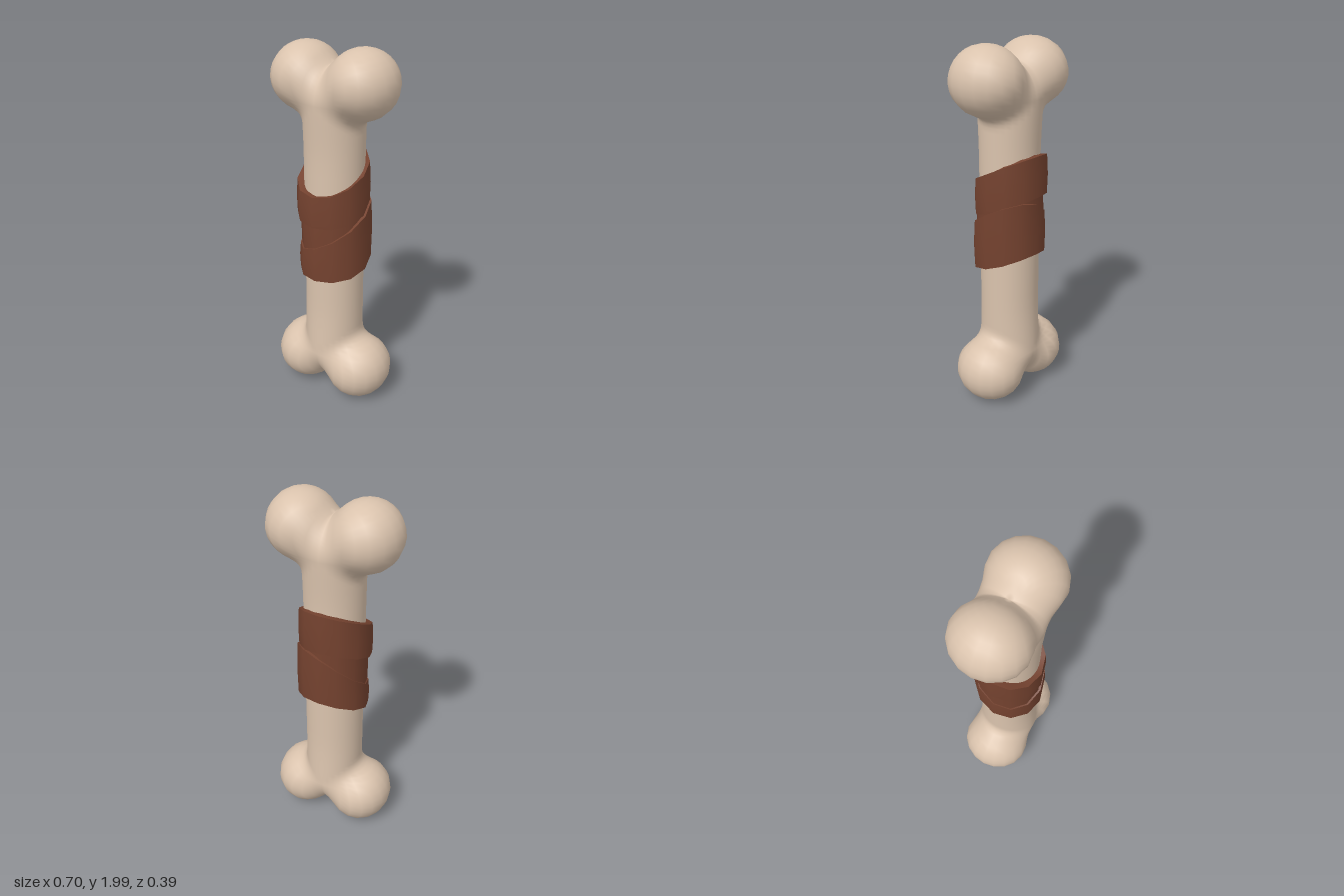
import * as THREE from 'three';

const boneMat = new THREE.MeshStandardMaterial({ color: 0xdac3ad });
boneMat.name = 'bone ivory';
const leatherMat = new THREE.MeshStandardMaterial({ color: 0x74422f });
leatherMat.name = 'brown leather';

// Implicit upper half of the bone: a round shaft blended into two knobs
function boneField(x, y, z) {
  const zs = z / (1 + 0.1 * THREE.MathUtils.smoothstep(y, 1.4, 1.8));
  const shaft = Math.hypot(x, Math.max(y - 1.72, 0), zs) - 0.16;
  const knob = Math.hypot(Math.abs(x) - 0.172, y - 1.818, zs) - 0.178;
  const k = 0.07;
  const h = Math.max(k - Math.abs(shaft - knob), 0) / k;
  return Math.min(shaft, knob) - h * h * k * 0.25;
}

// Triangles joining consecutive closed rows of points, rows running downward
function rowFaces(index, firstRow, lastRow, sides) {
  for (let r = firstRow; r < lastRow; r++) {
    for (let i = 0; i < sides; i++) {
      const j = (i + 1) % sides;
      const a = r * sides + i, b = a + sides;
      const d = r * sides + j, c = d + sides;
      index.push(a, b, c, a, c, d);
    }
  }
}

function boneGeometry() {
  const sides = 32, steps = 28, pivot = 1.7;
  const rows = [];
  const e = 0.002;
  for (let r = 0; r <= steps; r++) {
    const lat = THREE.MathUtils.degToRad(90 - (167 * r) / steps);
    const row = [];
    for (let i = 0; i < sides; i++) {
      const a = (i / sides) * Math.PI * 2;
      const d = [Math.cos(lat) * Math.sin(a), Math.sin(lat), Math.cos(lat) * Math.cos(a)];
      let lo = 0, hi = 0.9;
      for (let n = 0; n < 30; n++) {
        const t = (lo + hi) / 2;
        if (boneField(d[0] * t, pivot + d[1] * t, d[2] * t) < 0) lo = t;
        else hi = t;
      }
      const x = d[0] * lo, y = pivot + d[1] * lo, z = d[2] * lo;
      const n = new THREE.Vector3(
        boneField(x + e, y, z) - boneField(x - e, y, z),
        boneField(x, y + e, z) - boneField(x, y - e, z),
        boneField(x, y, z + e) - boneField(x, y, z - e)
      ).normalize();
      row.push({ x, y, z, n });
    }
    rows.push(row);
  }
  // Lower half mirrors the upper half
  const lower = rows.map(row => row.map(({ x, y, z, n }) =>
    ({ x, y: 2 - y, z, n: new THREE.Vector3(n.x, -n.y, n.z) }))).reverse();
  const all = [...rows, ...lower];
  const pos = [], nor = [], index = [];
  all.flat().forEach(p => {
    pos.push(p.x, p.y, p.z);
    nor.push(p.n.x, p.n.y, p.n.z);
  });
  rowFaces(index, 0, all.length - 1, sides);
  const g = new THREE.BufferGeometry();
  g.setAttribute('position', new THREE.Float32BufferAttribute(pos, 3));
  g.setAttribute('normal', new THREE.Float32BufferAttribute(nor, 3));
  g.setIndex(index);
  return g;
}

// Smooth closed height curve through its front, +x, back and -x values
function heightCurve([f, r, b, l]) {
  return a => (f + r + b + l) / 4 + ((f - b) / 2) * Math.cos(a)
    + ((r - l) / 2) * Math.sin(a) + ((f + b - r - l) / 4) * Math.cos(2 * a);
}

// Slanted leather band with a crisp rim
function bandGeometry(radius, shift, low, high) {
  const sides = 12, inner = 0.158;
  const bottom = heightCurve(low), top = heightCurve(high);
  const pos = [], index = [];
  const addRow = (rad, height, dx) => {
    for (let i = 0; i < sides; i++) {
      const a = (i / sides) * Math.PI * 2;
      pos.push(rad * Math.sin(a) + dx, height(a), rad * Math.cos(a));
    }
  };
  const strips = [
    [[inner, top, 0], [radius - 0.006, top, shift]],
    [[radius - 0.006, top, shift], [radius, a => (top(a) + bottom(a)) / 2, shift], [radius - 0.003, bottom, shift]],
    [[radius - 0.003, bottom, shift], [inner, bottom, 0]],
  ];
  let first = 0;
  for (const strip of strips) {
    strip.forEach(row => addRow(...row));
    rowFaces(index, first, first + strip.length - 1, sides);
    first += strip.length;
  }
  const g = new THREE.BufferGeometry();
  g.setAttribute('position', new THREE.Float32BufferAttribute(pos, 3));
  g.setIndex(index);
  g.computeVertexNormals();
  return g;
}

export function createModel() {
  const model = new THREE.Group();
  model.name = 'wrappedBone';
  const add = (name, geometry, material) => {
    const mesh = new THREE.Mesh(geometry, material);
    mesh.name = name;
    model.add(mesh);
  };

  add('bone', boneGeometry(), boneMat);

  // Leather wrap: heights at front, +x, back, -x
  add('lowerWrap', bandGeometry(0.197, 0.006, [0.77, 0.82, 0.9, 0.8], [0.96, 1.13, 1.18, 0.96]), leatherMat);
  add('middleWrap', bandGeometry(0.181, 0, [0.9, 0.95, 1.0, 0.92], [1.15, 1.22, 1.3, 1.2]), leatherMat);
  add('upperWrap', bandGeometry(0.196, -0.008, [1.08, 1.13, 1.22, 1.14], [1.25, 1.35, 1.44, 1.34]), leatherMat);

  return model;
}
